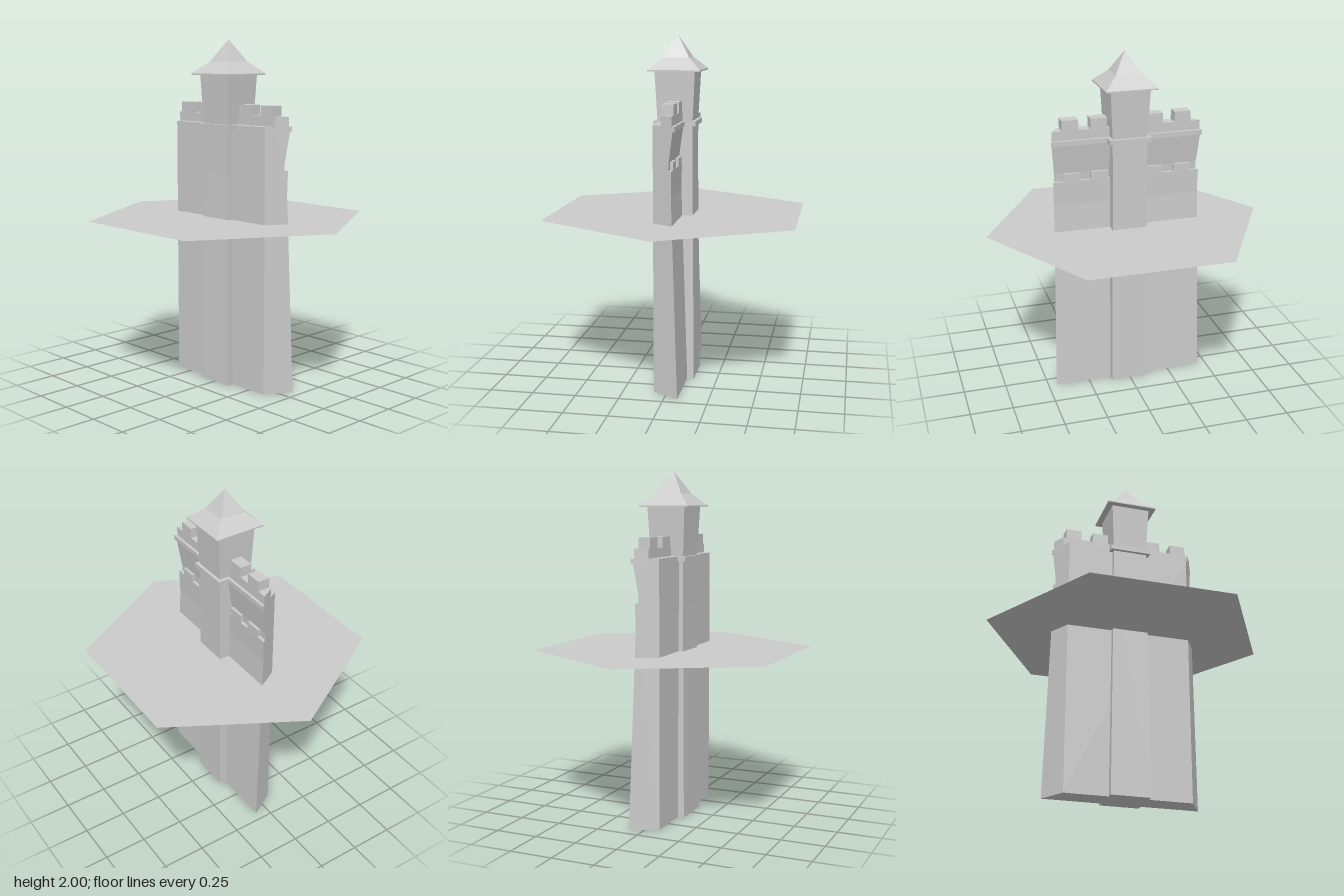
import * as THREE from 'three';

const material = new THREE.MeshStandardMaterial({ color: 0xcccccc, flatShading: true });

function addMesh(parent, name, geometry, mat = material) {
  const mesh = new THREE.Mesh(geometry, mat);
  mesh.name = name;
  parent.add(mesh);
  return mesh;
}

// Extrude an (x, y) profile along z and mitre both ends at 30 degrees
function mitredWall(profile) {
  const shape = new THREE.Shape(profile.map(([x, y]) => new THREE.Vector2(x, y)));
  const geometry = new THREE.ExtrudeGeometry(shape, { depth: 1, bevelEnabled: false });
  const pos = geometry.attributes.position;
  for (let i = 0; i < pos.count; i++) {
    const end = 0.408 + 0.577 * pos.getX(i);
    pos.setZ(i, pos.getZ(i) > 0.5 ? end : -end);
  }
  geometry.computeVertexNormals();
  return geometry;
}

// Four-sided solid from (half width, y) points, listed bottom to top
function squareTurned(profile) {
  const points = profile.map(([w, y]) => new THREE.Vector2(w * Math.SQRT2, y));
  const geometry = new THREE.LatheGeometry(points, 4, Math.PI / 4).toNonIndexed();
  geometry.computeVertexNormals();
  return geometry;
}

function block(x0, x1, y0, y1, z0, z1) {
  return new THREE.BoxGeometry(x1 - x0, y1 - y0, z1 - z0)
    .translate((x0 + x1) / 2, (y0 + y1) / 2, (z0 + z1) / 2);
}

export function createModel() {
  const group = new THREE.Group();
  group.name = 'wallTower';

  // Curtain wall: battered face, recessed gallery, string course and parapet
  addMesh(group, 'curtainWall', mitredWall([
    [-0.075, 0], [0.075, 0], [0.037, 1.14], [0.04, 1.28], [0.022, 1.28],
    [0.024, 1.325], [0.048, 1.495], [0.059, 1.495], [0.059, 1.523],
    [0.043, 1.523], [0.043, 1.577], [-0.026, 1.577], [-0.026, 1.523], [-0.075, 1.523],
  ]));

  // Merlons on the parapet and their shallow copies on the lower ledge
  const spans = [[0.117, 0.212], [0.281, 0.376]];
  for (const side of [1, -1]) {
    for (const [a, b] of spans) {
      const z0 = side > 0 ? a : -b;
      const z1 = side > 0 ? b : -a;
      addMesh(group, 'merlon', block(-0.026, 0.043, 1.57, 1.636, z0, z1));
      addMesh(group, 'ledgeMerlon', block(0.01, 0.04, 1.275, 1.325, z0, z1));
    }
  }

  // Square tower, narrowing to the band and flaring under the roof
  addMesh(group, 'tower', squareTurned([
    [0, 0], [0.114, 0], [0.101, 1.25], [0.101, 1.523], [0.115, 1.805], [0, 1.805],
  ]));
  addMesh(group, 'towerBand', squareTurned([
    [0, 1.495], [0.12, 1.495], [0.12, 1.523], [0, 1.523],
  ]));

  // Bell-shaped roof with a thin rim
  addMesh(group, 'roof', squareTurned([
    [0, 1.8], [0.15, 1.8], [0.15, 1.808], [0.076, 1.875], [0, 2],
  ]));

  // Thin hexagonal ground sheet around the middle of the wall
  const sheetMaterial = material.clone();
  sheetMaterial.side = THREE.DoubleSide;
  const sheet = new THREE.CircleGeometry(0.816, 6, Math.PI / 6).rotateX(-Math.PI / 2);
  addMesh(group, 'groundSheet', sheet, sheetMaterial).position.y = 0.98;

  return group;
}
